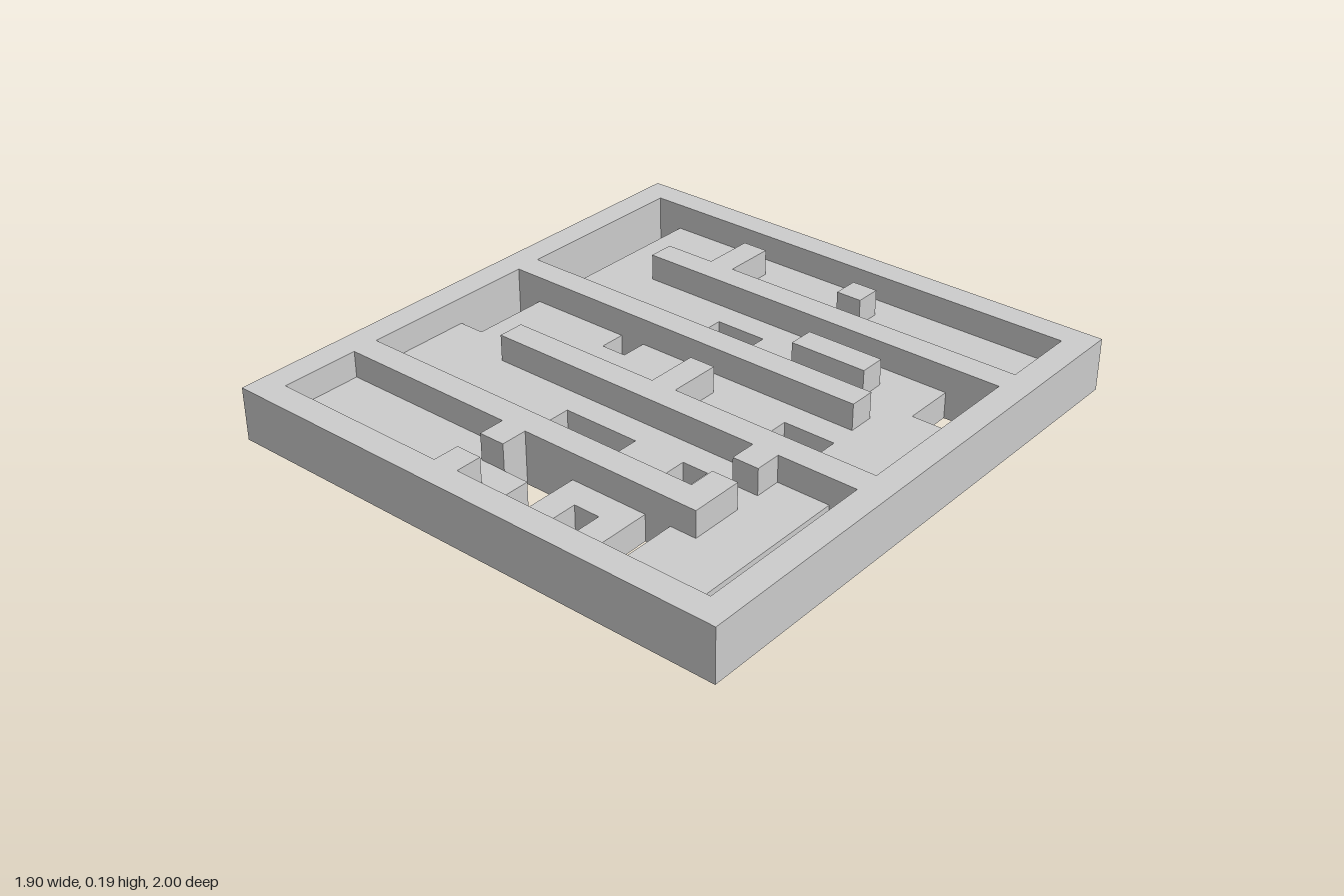
import * as THREE from 'three';

// The maze lies on a grid of 20 x 21 square cells
const COLS = 20, ROWS = 21, CELL = 2 / ROWS;
const point = ([col, row]) => new THREE.Vector2((col - COLS / 2) * CELL, (ROWS / 2 - row) * CELL);
// Counter-clockwise, so that the extrusion turns the hole walls the right way
const rect = ([c0, r0, c1, r1]) => [[c0, r0], [c0, r1], [c1, r1], [c1, r0]].map(point);

// Through-holes in the floor: column, row start and end
const PITS = [
  [1, 1, 2, 8], [8, 6, 10, 8], [17, 5, 19, 7], [1, 9, 2, 12], [6, 9, 7, 10],
  [14, 10, 16, 11], [8, 14, 11, 15], [13, 14, 14, 15], [1, 15, 4, 16],
  [12, 18, 13, 20], [14, 17, 15, 19], [18, 13, 19, 20],
];
const CORNER_PIT = [[9, 17], [11, 17], [11, 19], [10, 19], [10, 18], [9, 18]];

// Outline of the winding corridor cut through the wall layer
const CORRIDOR = [
  [1, 1], [19, 1], [19, 4], [7, 4], [7, 2], [6, 2], [6, 4], [4, 4], [4, 5],
  [19, 5], [19, 12], [11, 12], [11, 10], [10, 10], [10, 12], [4, 12], [4, 13],
  [15, 13], [15, 14], [16, 14], [16, 13], [19, 13], [19, 20], [9, 20], [9, 19],
  [8, 19], [8, 20], [1, 20], [1, 17], [8, 17], [8, 18], [9, 18], [9, 17],
  [16, 17], [16, 15], [15, 15], [15, 16], [1, 16], [1, 9], [16, 9], [16, 8], [1, 8],
];

// Free-standing blocks in the corridor
const BLOCKS = [[11, 2, 12, 3], [12, 6, 15, 7]];

export function createModel() {
  const group = new THREE.Group();
  group.name = 'mazeBoard';
  const material = new THREE.MeshStandardMaterial({ color: 0xcccccc, flatShading: true });

  // One flat layer, one cell thick, with holes
  const addLayer = (name, outline, holes, level) => {
    const shape = new THREE.Shape(outline);
    shape.holes = holes.map((points) => new THREE.Path(points));
    const geometry = new THREE.ExtrudeGeometry(shape, { depth: CELL, bevelEnabled: false });
    geometry.rotateX(-Math.PI / 2);
    const mesh = new THREE.Mesh(geometry, material);
    mesh.name = name;
    mesh.position.y = level * CELL;
    group.add(mesh);
  };

  const board = rect([0, 0, COLS, ROWS]);
  addLayer('floor', board, [...PITS.map(rect), CORNER_PIT.map(point)], 0);
  addLayer('walls', board, [CORRIDOR.map(point)], 1);
  BLOCKS.forEach((block, i) => addLayer(`block${i + 1}`, rect(block), [], 1));

  return group;
}
